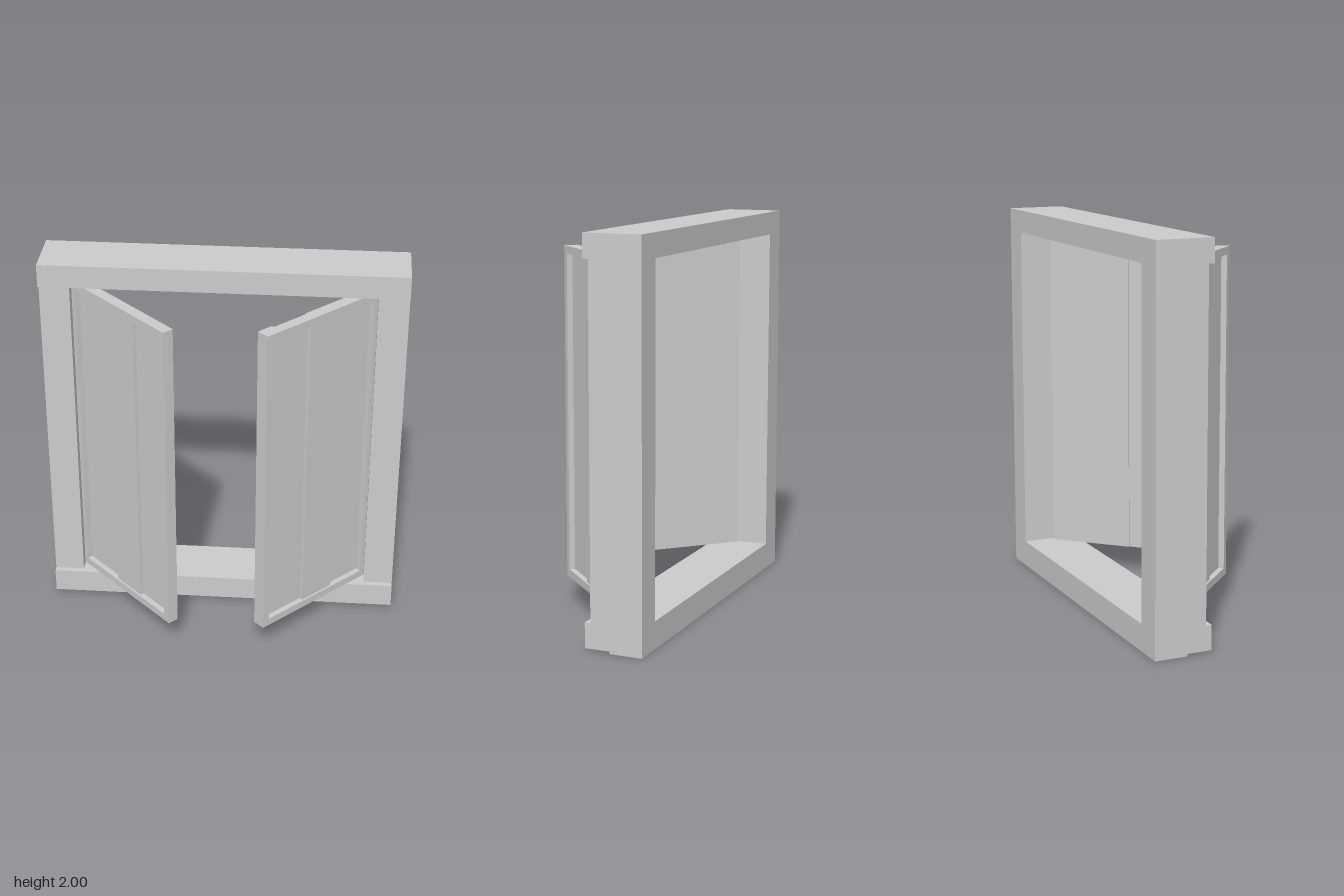
import * as THREE from 'three';

const material = new THREE.MeshStandardMaterial({ color: 0xcccccc, flatShading: true });

// Box given by its minimum and maximum corners
function box(parent, name, [x0, x1], [y0, y1], [z0, z1]) {
  const mesh = new THREE.Mesh(
    new THREE.BoxGeometry(Math.abs(x1 - x0), Math.abs(y1 - y0), Math.abs(z1 - z0)), material);
  mesh.position.set((x0 + x1) / 2, (y0 + y1) / 2, (z0 + z1) / 2);
  mesh.name = name;
  parent.add(mesh);
  return mesh;
}

function rectangle(PathType, x0, x1, y0, y1) {
  return new PathType([[x0, y0], [x1, y0], [x1, y1], [x0, y1]].map(p => new THREE.Vector2(...p)));
}

// Shutter hinged at local x = 0, outer face at z = 0, opened by 45 degrees
function makeShutter(side, name, board, backs) {
  const shutter = new THREE.Group();
  shutter.name = name;
  const width = 0.754, y0 = 0.145, y1 = 1.875, rim = 0.04, thick = 0.06;
  const span = (a, b) => [side * a, side * b];

  // Rim around the recessed panel
  const outline = rectangle(THREE.Shape, Math.min(0, side * width), Math.max(0, side * width), y0, y1);
  outline.holes.push(rectangle(THREE.Path, side * rim, side * (width - rim), y0 + rim, y1 - rim));
  const depth = backs ? 0.05 : thick;
  const rimGeometry = new THREE.ExtrudeGeometry(outline, { depth, bevelEnabled: false });
  rimGeometry.translate(0, 0, -depth);
  const rimMesh = new THREE.Mesh(rimGeometry, material);
  rimMesh.name = 'shutterRim';
  shutter.add(rimMesh);

  // Recessed panel and raised middle board
  const inner = [y0 + rim, y1 - rim];
  box(shutter, 'recessedPanel', span(rim, width - rim), inner, [-depth, -0.03]);
  box(shutter, 'raisedBoard', span(...board), inner, [-0.035, -0.01]);

  // Back boards of different thickness, with the overlap strip at the free edge
  for (const [part, a, b, back] of backs || [])
    box(shutter, part, span(a, b), [y0, y1], [-back, -0.05]);

  shutter.position.set(-side * 0.783, 0, -0.168);
  shutter.rotation.y = -side * Math.PI / 4;
  return shutter;
}

export function createModel() {
  const model = new THREE.Group();
  model.name = 'shutteredWindow';

  // Window frame: lintel and posts
  const half = 0.93;
  box(model, 'lintel', [-half, half], [1.88, 2], [-0.37, -0.07]);
  for (const side of [-1, 1])
    box(model, side > 0 ? 'leftPost' : 'rightPost', [side * 0.775, side * half], [0.14, 1.88], [-0.37, -0.1]);

  // Sill with a stepped underside
  const profile = new THREE.Shape([
    [0.37, 0], [0.37, 0.14], [0.07, 0.14], [0.07, 0.012], [0.2, 0.012], [0.2, 0],
  ].map(p => new THREE.Vector2(...p)));
  const sillGeometry = new THREE.ExtrudeGeometry(profile, { depth: 2 * half, bevelEnabled: false });
  sillGeometry.translate(0, 0, -half).rotateY(Math.PI / 2);
  const sill = new THREE.Mesh(sillGeometry, material);
  sill.name = 'sill';
  model.add(sill);

  // Shutters; side is the direction from hinge to free edge
  model.add(makeShutter(1, 'rightShutter', [0.3, 0.5]));
  model.add(makeShutter(-1, 'leftShutter', [0.257, 0.464], [
    ['hingeBackBoard', 0, 0.453, 0.064],
    ['middleBackBoard', 0.453, 0.664, 0.057],
    ['overlapStrip', 0.664, 0.754, 0.071],
  ]));
  return model;
}
